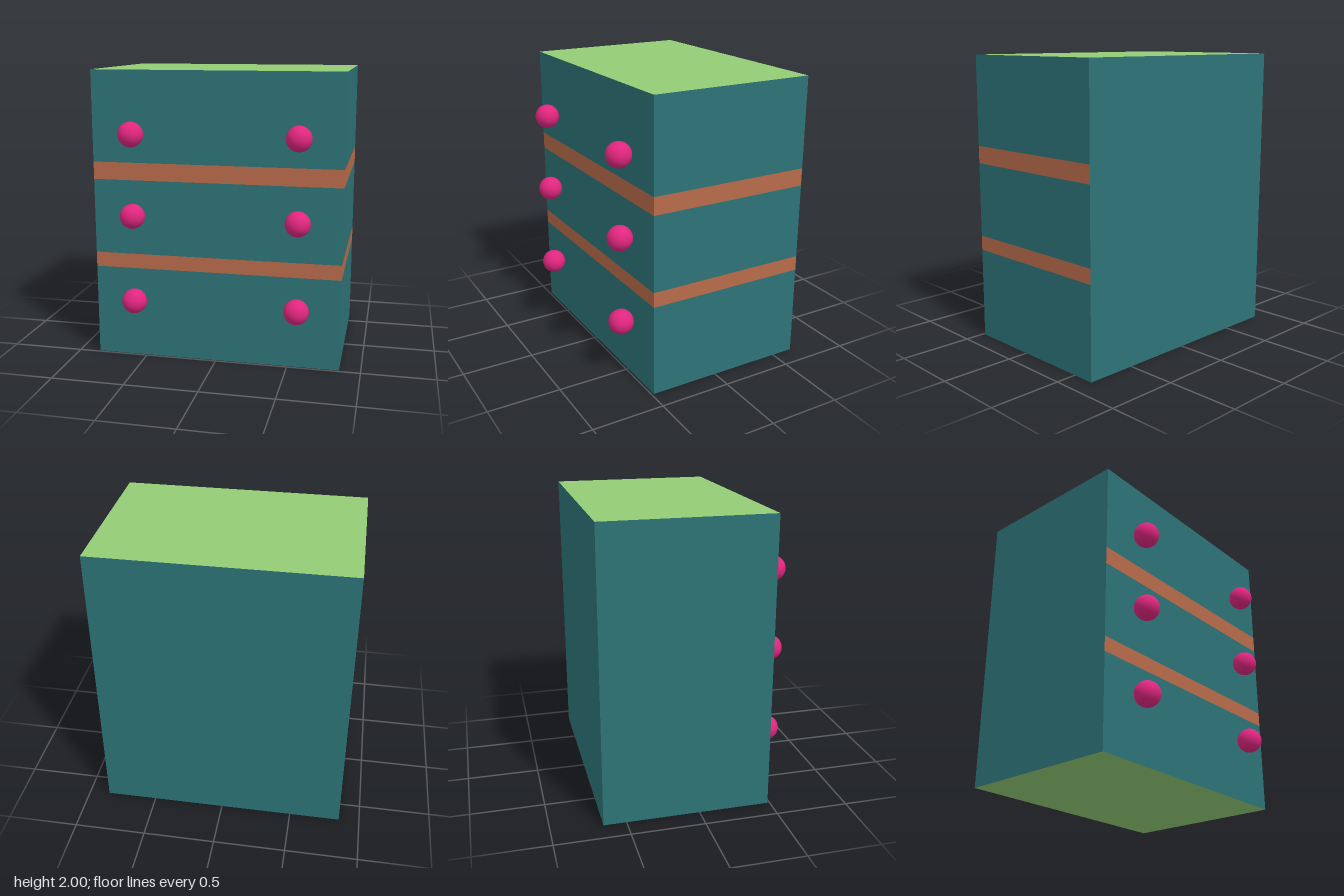
import * as THREE from 'three';

const material = (name, color) => {
  const m = new THREE.MeshStandardMaterial({ color });
  m.name = name;
  return m;
};

export function createModel() {
  const teal = material('teal', 0x2d7377);
  const orange = material('orange', 0xb86b4a);
  const green = material('green', 0x92cb74);
  const pink = material('pink', 0xe0267f);

  const model = new THREE.Group();
  model.name = 'chestOfDrawers';

  const W = 1.71, H = 2, back = -0.655, front = 0.485;
  const D = front - back, midZ = (front + back) / 2;

  // One outward-facing panel of the cabinet
  const panel = (name, w, h, mat, [x, y, z], rx = 0, ry = 0) => {
    const mesh = new THREE.Mesh(new THREE.PlaneGeometry(w, h), mat);
    mesh.name = name;
    mesh.position.set(x, y, z);
    mesh.rotation.set(rx, ry, 0);
    model.add(mesh);
  };

  // Front and left side: drawer bands separated by flush stripes
  const levels = [0, 0.635, 0.738, 1.256, 1.377, H];
  for (let i = 0; i < levels.length - 1; i++) {
    const h = levels[i + 1] - levels[i];
    const y = levels[i] + h / 2;
    const stripe = i % 2 === 1;
    const part = stripe ? 'Stripe' : 'Drawer';
    const mat = stripe ? orange : teal;
    panel('front' + part, W, h, mat, [0, y, front]);
    panel('side' + part, D, h, mat, [W / 2, y, midZ], 0, Math.PI / 2);
  }

  // Plain right side and back
  panel('rightSide', D, H, teal, [-W / 2, H / 2, midZ], 0, -Math.PI / 2);
  panel('backPanel', W, H, teal, [0, H / 2, back], 0, Math.PI);

  // Top and underside
  panel('topPanel', W, D, green, [0, H, midZ], -Math.PI / 2);
  panel('bottomPanel', W, D, green, [0, 0, midZ], Math.PI / 2);

  // Two round knobs per drawer
  const knobGeometry = new THREE.SphereGeometry(0.085, 32, 20);
  for (const y of [0.425, 1.025, 1.58]) {
    for (const x of [-0.556, 0.567]) {
      const knob = new THREE.Mesh(knobGeometry, pink);
      knob.name = 'knob';
      knob.position.set(x, y, front + 0.085);
      model.add(knob);
    }
  }
  return model;
}
